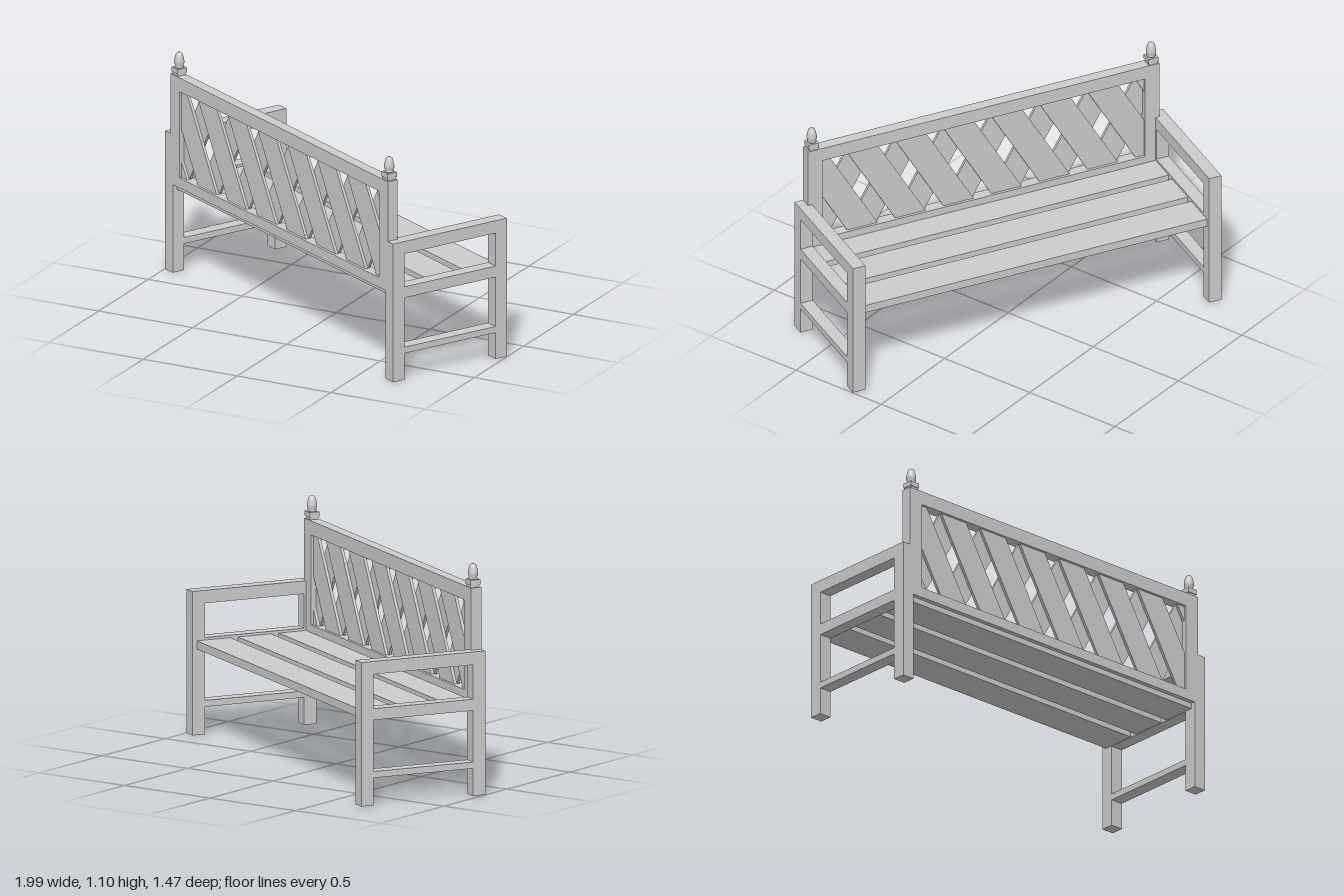
import * as THREE from 'three';

const material = new THREE.MeshStandardMaterial({ color: 0xcccccc });

function add(parent, name, geometry) {
  const mesh = new THREE.Mesh(geometry, material);
  mesh.name = name;
  parent.add(mesh);
  return mesh;
}

// Box given by its extents along each axis
function block(parent, name, [x0, x1], [y0, y1], [z0, z1]) {
  const mesh = add(parent, name, new THREE.BoxGeometry(x1 - x0, y1 - y0, z1 - z0));
  mesh.position.set((x0 + x1) / 2, (y0 + y1) / 2, (z0 + z1) / 2);
  return mesh;
}

// Keep the part of a polygon where sign * p[axis] <= limit
function clip(points, axis, sign, limit) {
  const out = [];
  points.forEach((p, i) => {
    const q = points[(i + 1) % points.length];
    const dp = limit - sign * p[axis], dq = limit - sign * q[axis];
    if (dp >= 0) out.push(p);
    if (dp * dq < 0) out.push(p.clone().lerp(q, dp / (dp - dq)));
  });
  return out;
}

const END = 0.9585, DEPTH = 0.323, POST = 0.064;
const BACK = [0.268, 0.323];
const OPEN_X = 0.84, OPEN_Y = [0.49, 0.922];

// Side frame: two legs, arm, seat rail and stretcher
function sideFrame(side) {
  const g = new THREE.Group();
  g.name = side > 0 ? 'leftSideFrame' : 'rightSideFrame';
  const x = side > 0 ? [END - POST, END] : [-END, POST - END];
  const between = [POST - DEPTH, DEPTH - POST];
  block(g, 'frontLeg', x, [0, 0.63], [-DEPTH, POST - DEPTH]);
  block(g, 'backLeg', x, [0, 0.63], [DEPTH - POST, DEPTH]);
  block(g, 'armRest', x, [0.63, 0.692], [-DEPTH, DEPTH]);
  block(g, 'seatRail', x, [0.41, 0.465], between);
  block(g, 'stretcher', x, [0.132, 0.163], between);
  return g;
}

// Crossed slats: two layers of parallel strips trimmed to the frame opening
function lattice() {
  const g = new THREE.Group();
  g.name = 'lattice';
  const h = (OPEN_Y[1] - OPEN_Y[0]) / 2, pitch = 0.25, half = 0.079;
  const lean = h / Math.tan(Math.PI / 3), thick = 0.014;
  const zMid = (BACK[0] + BACK[1]) / 2;
  for (const dir of [1, -1]) {
    for (let k = -4; k <= 4; k++) {
      const c = k * pitch, d = dir * lean;
      let pts = [
        [c + d - half, -h], [c + d + half, -h], [c - d + half, h], [c - d - half, h],
      ].map(([x, y]) => new THREE.Vector2(x, y));
      pts = clip(clip(pts, 'x', 1, OPEN_X), 'x', -1, OPEN_X);
      if (pts.length < 3) continue;
      const geo = new THREE.ExtrudeGeometry(new THREE.Shape(pts), { depth: thick, bevelEnabled: false });
      const slat = add(g, 'latticeSlat', geo);
      slat.position.set(0, OPEN_Y[0] + h, dir > 0 ? zMid : zMid - thick);
    }
  }
  return g;
}

// Post cap with a turned, egg-shaped knob
function finial(x) {
  const g = new THREE.Group();
  g.name = 'finial';
  block(g, 'finialBase', [-0.022, 0.022], [0, 0.012], [-0.022, 0.022]);
  block(g, 'finialCap', [-0.026, 0.026], [0.012, 0.036], [-0.026, 0.026]);
  const profile = [
    [0, 0.036], [0.021, 0.036], [0.021, 0.042], [0.019, 0.046], [0.024, 0.058],
    [0.024, 0.07], [0.02, 0.09], [0.015, 0.105], [0.009, 0.11], [0, 0.111],
  ].map(([r, y]) => new THREE.Vector2(r, y));
  add(g, 'finialKnob', new THREE.LatheGeometry(profile, 20));
  g.position.set(x, 0.99, 0.2945);
  return g;
}

export function createModel() {
  const model = new THREE.Group();
  model.name = 'gardenBench';
  const bench = new THREE.Group();
  bench.name = 'bench';
  model.add(bench);

  // Sides, back stiles and finials
  for (const side of [1, -1]) {
    bench.add(sideFrame(side));
    const x = side > 0 ? [OPEN_X, 0.915] : [-0.915, -OPEN_X];
    block(bench, 'backStile', x, [0.44, 0.99], BACK);
    bench.add(finial(side * 0.883));
  }

  // Back rails and lattice
  block(bench, 'topRail', [-OPEN_X, OPEN_X], [OPEN_Y[1], 0.99], BACK);
  block(bench, 'bottomRail', [-OPEN_X, OPEN_X], [0.44, OPEN_Y[0]], BACK);
  bench.add(lattice());

  // Three wide seat planks
  const inner = END - POST;
  for (const z of [-0.213, 0, 0.213]) {
    block(bench, 'seatPlank', [-inner, inner], [0.413, 0.453], [z - 0.087, z + 0.087]);
  }

  // The bench stands turned, its back toward the front right
  bench.rotation.y = -0.4916;
  return model;
}
